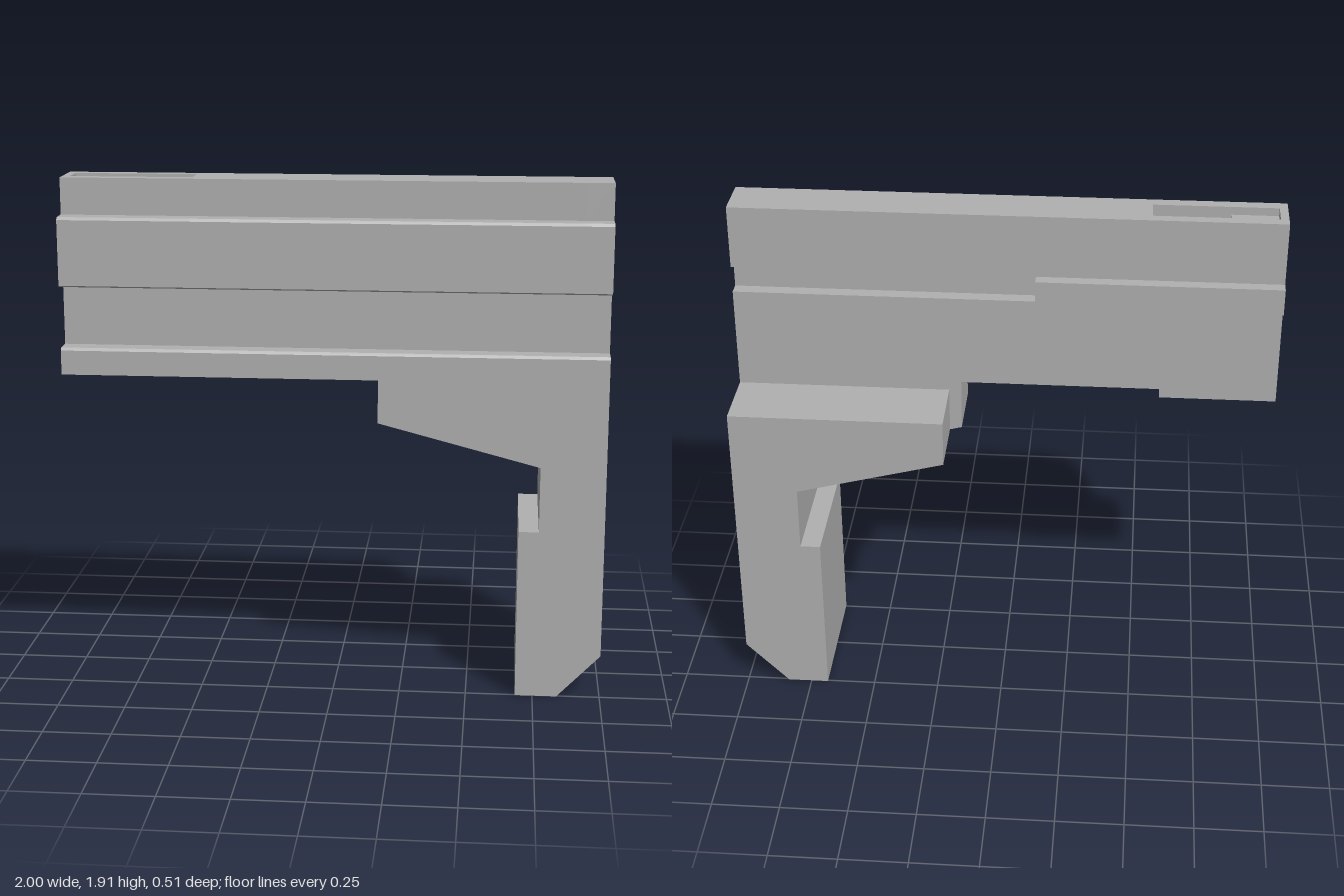
import * as THREE from 'three';

export function createModel() {
  const group = new THREE.Group();
  const grey = new THREE.MeshStandardMaterial({ color: 0xb0b0b0 });
  grey.name = 'plain grey';

  function add(name, geometry) {
    const mesh = new THREE.Mesh(geometry, grey);
    mesh.name = name;
    group.add(mesh);
    return mesh;
  }
  const polygon = (pts) => new THREE.Shape(pts.map(([a, b]) => new THREE.Vector2(a, b)));
  const circle = (z, y, r) => new THREE.Path().absarc(z, y, r, 0, Math.PI * 2, false);
  const extrude = (shape, depth) =>
    new THREE.ExtrudeGeometry(shape, { depth, bevelEnabled: false, curveSegments: 16 });

  // Extrudes a (z, y) section between two x positions
  function alongX(name, shape, x0, x1) {
    return add(name, extrude(shape, x1 - x0).rotateY(-Math.PI / 2).translate(x1, 0, 0));
  }

  const base = 1.235, top = 1.915;

  // Ribbed slide section with a side groove and an optional slot in the top
  function section(slotFloor, rounded = false) {
    const s = polygon([
      [0, base], [0.255, base], [0.255, 1.29], [0.247, 1.3], [0.18, 1.3],
      [0.18, 1.525], [0.25, 1.525], [0.255, 1.53], [0.255, 1.77], [0.247, 1.78],
      [0.18, 1.78], [0.18, top],
    ]);
    if (slotFloor) {
      s.lineTo(0.135, top);
      s.lineTo(0.135, slotFloor);
      if (rounded) s.absarc(0.0875, slotFloor, 0.0475, 0, -Math.PI, true);
      else s.lineTo(0.04, slotFloor);
      s.lineTo(0.04, top);
    }
    [[0, top], [0, 1.68], [0.05, 1.68], [0.05, 1.58], [0, 1.58]].forEach(([z, y]) => s.lineTo(z, y));
    return s;
  }

  // Body, in lengths from the muzzle to the rear
  const muzzle = section();
  muzzle.holes.push(circle(0.085, 1.8, 0.073));
  alongX('muzzleEnd', muzzle, -1, -0.97);
  alongX('shallowSlotBody', section(1.885), -0.97, -0.8);
  alongX('deepSlotBody', section(1.82, true), -0.8, -0.52);
  alongX('mainBody', section(), -0.52, 0.9);
  const rear = section();
  rear.holes.push(circle(0.07, 1.87, 0.018), circle(0.07, 1.79, 0.018));
  alongX('rearEnd', rear, 0.9, 1);

  // Barrel face with two bores
  const barrel = new THREE.Shape().absarc(0.085, 1.8, 0.066, 0, Math.PI * 2, false);
  barrel.holes.push(circle(0.085, 1.838, 0.02), circle(0.085, 1.776, 0.03));
  alongX('barrelFace', barrel, -1, -0.97);

  // Underside plate with a round-cornered recess open to the back
  const plate = polygon([[-1, 0], [-1, 0.255], [1, 0.255], [1, 0], [0.165, 0], [0.165, 0.18], [-0.45, 0.18]]);
  plate.quadraticCurveTo(-0.57, 0.18, -0.57, 0.06);
  plate.lineTo(-0.57, 0);
  add('undersidePlate', extrude(plate, base - 1.2).rotateX(Math.PI / 2).translate(0, base, 0));

  // Sliding bar filling the front of the side groove
  add('sideBar', new THREE.BoxGeometry(0.89, 0.1, 0.095)).position.set(-0.555, 1.63, 0.0025);

  // Grip: front half starts slightly further forward than the back half
  function grip(name, x, y, z0, z1) {
    const s = polygon([
      [x, 1.2], [x, y], [0.76, 0.885], [0.76, 0.64], [0.685, 0.64],
      [0.685, 0], [0.84, 0], [1, 0.165], [1, 1.2],
    ]);
    add(name, extrude(s, z1 - z0).translate(0, 0, z0));
  }
  grip('gripFront', 0.165, 1.04, 0, 0.255);
  grip('gripBack', 0.21, 1.028, -0.255, 0);

  return group;
}
